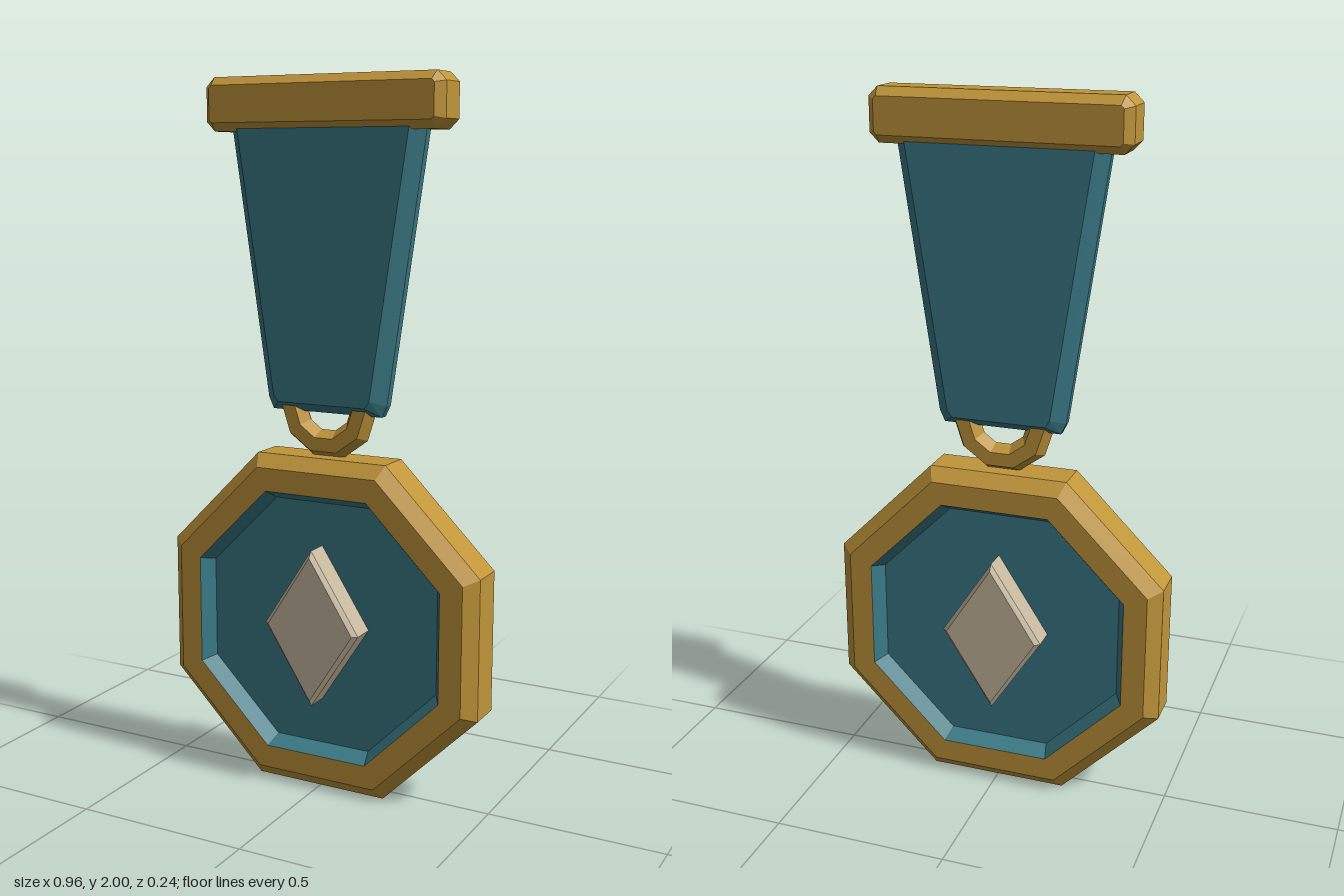
import * as THREE from 'three';

// Skins matching counter-clockwise outlines, ordered from back to front: rings = [[points, z], ...]
function loft(rings, capBack = true, capFront = true) {
  const pos = [];
  const put = ([pts, z], k) => pos.push(...pts[k % pts.length], z);
  const n = rings[0][0].length;
  for (let i = 0; i < rings.length - 1; i++) {
    const a = rings[i], b = rings[i + 1];
    for (let k = 0; k < n; k++) {
      put(a, k); put(a, k + 1); put(b, k + 1);
      put(a, k); put(b, k + 1); put(b, k);
    }
  }
  const first = rings[0], last = rings[rings.length - 1];
  for (let k = 1; k < n - 1; k++) {
    if (capBack) { put(first, 0); put(first, k + 1); put(first, k); }
    if (capFront) { put(last, 0); put(last, k); put(last, k + 1); }
  }
  const geo = new THREE.BufferGeometry();
  geo.setAttribute('position', new THREE.Float32BufferAttribute(pos, 3));
  geo.computeVertexNormals();
  return geo;
}

// Outline helpers
const octagon = (apothem) => Array.from({ length: 8 }, (_, k) => {
  const a = (k + 0.5) * Math.PI / 4, r = apothem / Math.cos(Math.PI / 8);
  return [r * Math.cos(a), r * Math.sin(a)];
});
const diamond = (w, h) => [[w, 0], [0, h], [-w, 0], [0, -h]];
const cutRect = (w, h, c) => [
  [w, -h + c], [w, h - c], [w - c, h], [-w + c, h],
  [-w, h - c], [-w, -h + c], [-w + c, -h], [w - c, -h],
];
const mirrored = (right) => [...right, ...right.map(([x, y]) => [-x, y]).reverse()];

// Solid with bevelled front and back edges
const bevelled = (face, body, zBody, zFace) =>
  loft([[face, -zFace], [body, -zBody], [body, zBody], [face, zFace]]);

export function createModel() {
  const model = new THREE.Group();
  model.name = 'medal';
  const material = (name, color) => {
    const m = new THREE.MeshStandardMaterial({ color });
    m.name = name;
    m.flatShading = true;
    return m;
  };
  const gold = material('gold', 0xc0953a);
  const teal = material('teal', 0x3a7a86);
  const cream = material('cream', 0xc8baa0);
  const add = (name, geo, mat, y = 0) => {
    const mesh = new THREE.Mesh(geo, mat);
    mesh.name = name;
    mesh.position.y = y;
    model.add(mesh);
  };

  // Octagonal disc: gold rim, recessed teal field on both sides
  const cy = 0.4825, rimZ = 0.085, floorZ = 0.04;
  const inner = octagon(0.38), face = octagon(0.446), outer = octagon(0.4825), floor = octagon(0.355);
  add('rim', loft([
    [inner, -rimZ], [face, -rimZ], [outer, -0.05],
    [outer, 0.05], [face, rimZ], [inner, rimZ],
  ], false, false), gold, cy);
  add('frontField', loft([[inner, rimZ], [floor, floorZ]], false, true), teal, cy);
  add('backField', loft([[floor, -floorZ], [inner, -rimZ]], true, false), teal, cy);

  // Diamond emblem standing proud of both faces
  add('diamond', bevelled(diamond(0.133, 0.208), diamond(0.147, 0.227), 0.106, 0.118), cream, 0.487);

  // Hanging ring, its upper half inside the ribbon
  add('ring', new THREE.TorusGeometry(0.11, 0.04, 6, 10), gold, 1.105);

  // Tapered ribbon with wide bevels
  add('ribbon', bevelled(
    mirrored([[0.135, 1.115], [0.149, 1.135], [0.27, 1.93]]),
    mirrored([[0.17, 1.088], [0.185, 1.12], [0.305, 1.93]]),
    0.012, 0.05), teal);

  // Top bar
  add('topBar', bevelled(cutRect(0.337, 0.05, 0.008), cutRect(0.36, 0.073, 0.026), 0.042, 0.068), gold, 1.927);

  return model;
}
